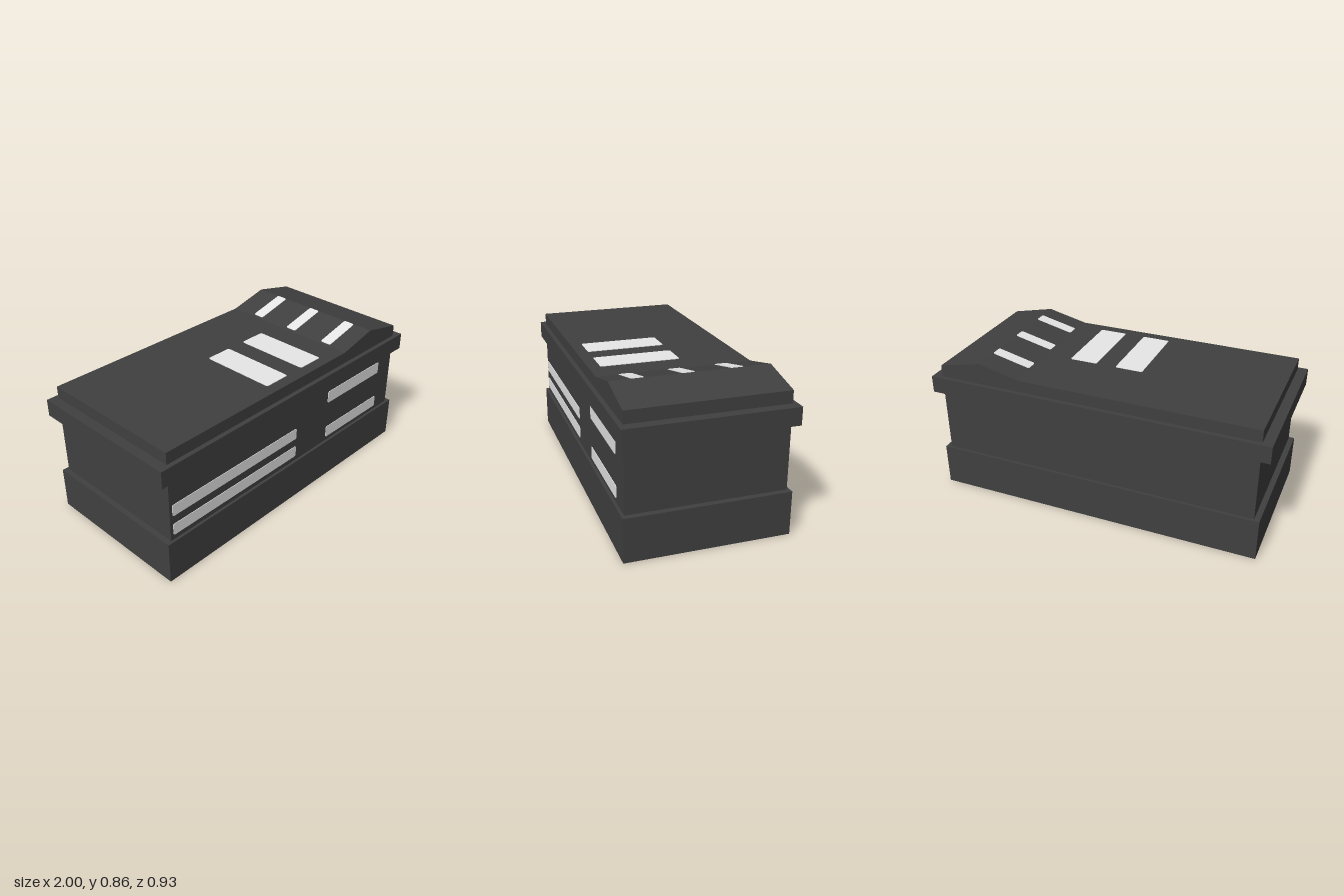
import * as THREE from 'three';

const shell = new THREE.MeshStandardMaterial({ color: 0x404040 });
shell.name = 'charcoal';
const marking = new THREE.MeshStandardMaterial({ color: 0xf0f0f0 });
marking.name = 'offWhite';

// Roof: flat section, then a low ridge towards +x
const ROOF = 0.8, RIDGE_X = 0.685, RIDGE_Y = 0.857, SLOPE_X = 0.44;

function add(parent, name, geometry, material) {
  const mesh = new THREE.Mesh(geometry, material);
  mesh.name = name;
  parent.add(mesh);
  return mesh;
}

function box(parent, name, w, d, y0, y1) {
  const mesh = add(parent, name, new THREE.BoxGeometry(w, y1 - y0, d), shell);
  mesh.position.y = (y0 + y1) / 2;
  return mesh;
}

// Thin rounded bar lying in the XY plane, facing +z
function plateGeometry(w, h, r = 0.012) {
  const x = w / 2, y = h / 2;
  const s = new THREE.Shape();
  s.moveTo(-x + r, -y);
  s.lineTo(x - r, -y);
  s.quadraticCurveTo(x, -y, x, -y + r);
  s.lineTo(x, y - r);
  s.quadraticCurveTo(x, y, x - r, y);
  s.lineTo(-x + r, y);
  s.quadraticCurveTo(-x, y, -x, y - r);
  s.lineTo(-x, -y + r);
  s.quadraticCurveTo(-x, -y, -x + r, -y);
  return new THREE.ExtrudeGeometry(s, { depth: 0.004, bevelEnabled: false, curveSegments: 4 });
}

export function createModel() {
  const model = new THREE.Group();
  model.name = 'case';

  // Stepped base and projecting collar
  box(model, 'base', 1.95, 0.914, 0, 0.25);
  box(model, 'collar', 2, 0.934, 0.63, 0.73);

  // Main body with the ridged roof, extruded front to back
  const profile = new THREE.Shape([
    [-0.943, 0.1], [0.943, 0.1], [0.943, ROOF],
    [RIDGE_X, RIDGE_Y], [SLOPE_X, ROOF], [-0.943, ROOF],
  ].map(([x, y]) => new THREE.Vector2(x, y)));
  const bodyGeometry = new THREE.ExtrudeGeometry(profile, { depth: 0.882, bevelEnabled: false });
  bodyGeometry.translate(0, 0, -0.441);
  add(model, 'body', bodyGeometry, shell);

  // Front bars: x0, x1, y0, y1
  [
    [-0.925, 0.028, 0.402, 0.472],
    [-0.925, 0.028, 0.28, 0.35],
    [0.308, 0.812, 0.518, 0.594],
    [0.308, 0.812, 0.275, 0.348],
  ].forEach(([x0, x1, y0, y1], i) => {
    const bar = add(model, `frontBar${i + 1}`, plateGeometry(x1 - x0, y1 - y0), marking);
    bar.position.set((x0 + x1) / 2, (y0 + y1) / 2, 0.44);
  });

  // Wide bars on the flat roof
  [-0.075, 0.208].forEach((x, i) => {
    const bar = add(model, `roofBar${i + 1}`, plateGeometry(0.164, 0.454), marking);
    bar.rotation.x = -Math.PI / 2;
    bar.position.set(x, ROOF - 0.001, 0.148);
  });

  // Short bars on the rising slope of the ridge
  const slope = new THREE.Group();
  slope.name = 'slopeBars';
  slope.position.set(SLOPE_X, ROOF, 0);
  slope.rotation.z = Math.atan2(RIDGE_Y - ROOF, RIDGE_X - SLOPE_X);
  model.add(slope);
  [-0.253, 0.016, 0.287].forEach((z, i) => {
    const bar = add(slope, `slopeBar${i + 1}`, plateGeometry(0.236, 0.07), marking);
    bar.rotation.x = -Math.PI / 2;
    bar.position.set(0.132, -0.001, z);
  });

  return model;
}
